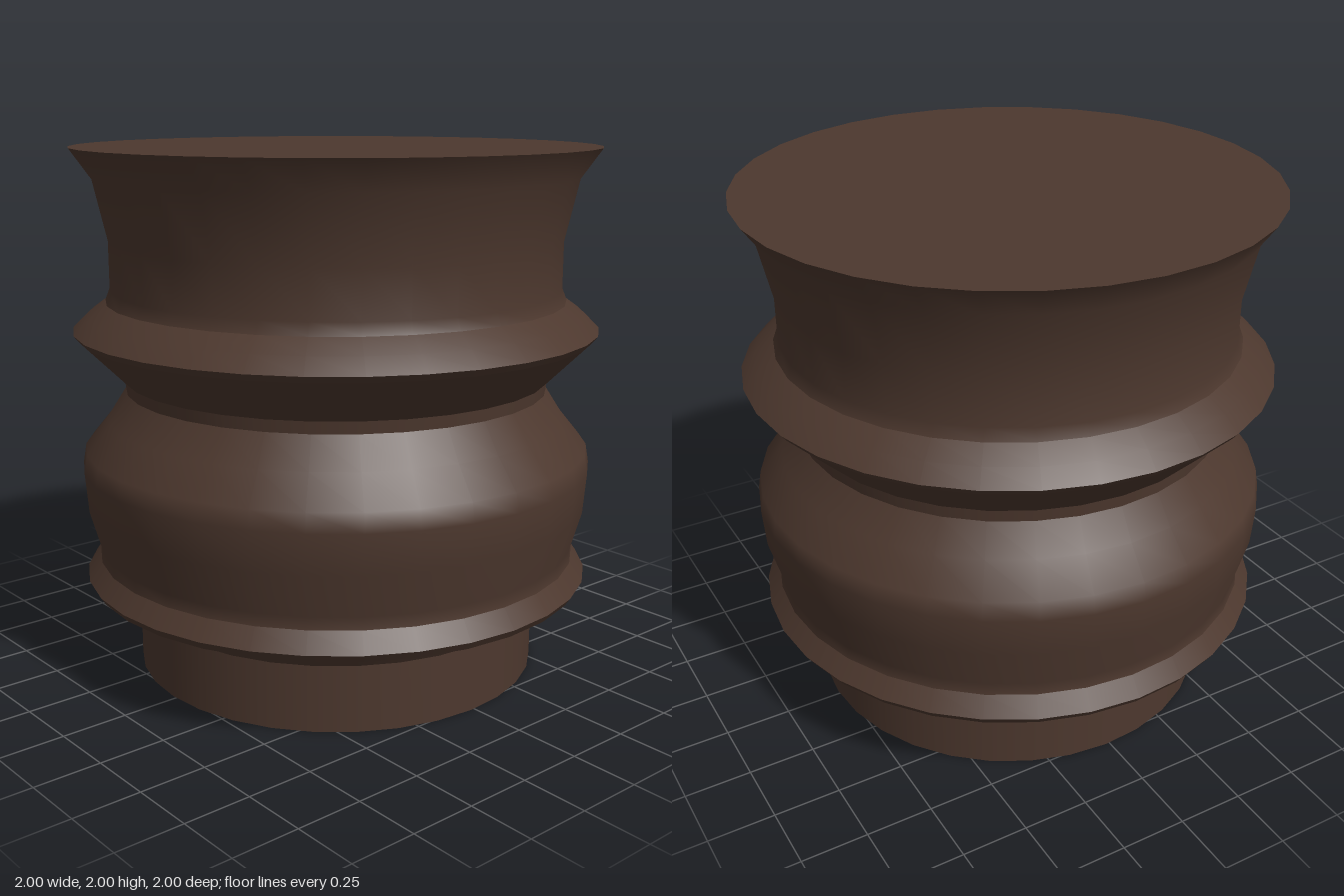
import * as THREE from 'three';

const SIDES = 32;
const TURN = -0.02; // slight twist of the facets about the axis

// Each band is a smooth run of [radius, height]; edges between bands stay sharp.
const BANDS = {
  bottomCap: [[0, 0], [0.78, 0]],
  foot: [[0.78, 0], [0.78, 0.25]],
  footFlare: [[0.78, 0.25], [0.82, 0.31]],
  lowerRingUnderside: [[0.82, 0.31], [0.96, 0.345]],
  lowerRingEdge: [[0.96, 0.345], [0.98, 0.375]],
  lowerRingTop: [[0.98, 0.375], [0.93, 0.445]],
  belly: [[0.93, 0.445], [0.925, 0.49], [0.97, 0.65], [0.982, 0.8], [0.97, 0.87],
    [0.88, 0.98], [0.81, 1.09]],
  waist: [[0.81, 1.09], [0.815, 1.135]],
  upperRingUnderside: [[0.815, 1.135], [0.98, 1.3]],
  upperRingEdge: [[0.98, 1.3], [1, 1.325]],
  upperRingTop: [[1, 1.325], [0.945, 1.38], [0.875, 1.43]],
  neck: [[0.875, 1.43], [0.858, 1.475], [0.858, 1.65], [0.912, 1.89], [0.99, 2]],
  topCap: [[0.99, 2], [0, 2]],
};

export function createModel() {
  const group = new THREE.Group();
  group.name = 'turnedPedestal';
  const material = new THREE.MeshStandardMaterial({ color: 0x4d382e });

  // One lathed surface per band, all sharing the same axis
  for (const [name, profile] of Object.entries(BANDS)) {
    const points = profile.map(([r, y]) => new THREE.Vector2(r, y));
    const mesh = new THREE.Mesh(new THREE.LatheGeometry(points, SIDES, TURN), material);
    mesh.name = name;
    group.add(mesh);
  }
  return group;
}
